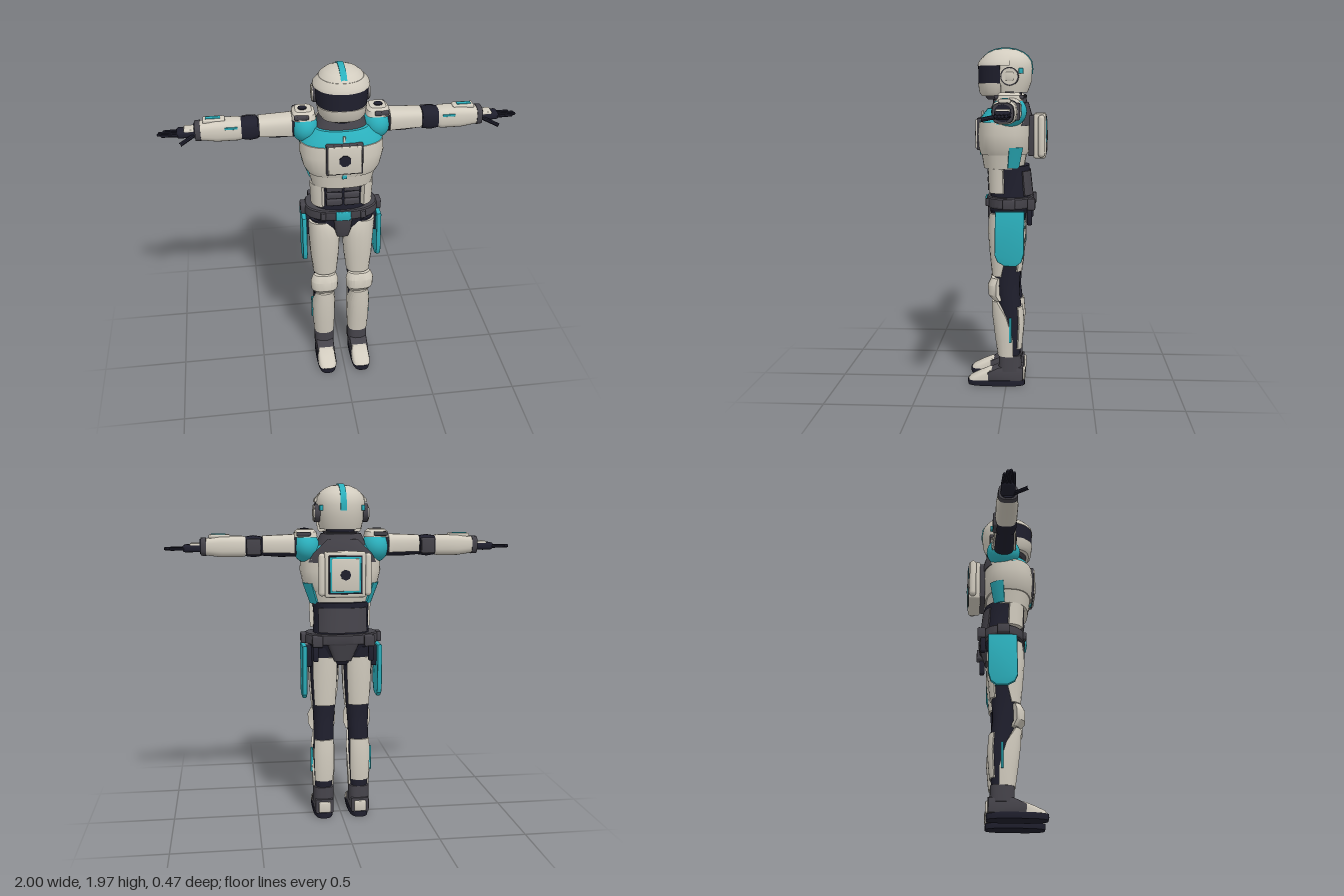
import * as THREE from 'three';
import { toCreasedNormals } from 'three/addons/utils/BufferGeometryUtils.js';
import { RoundedBoxGeometry } from 'three/addons/geometries/RoundedBoxGeometry.js';

const paint = (name, color) => Object.assign(new THREE.MeshStandardMaterial({ color }), { name });
const BACK = Math.PI, OUT = Math.PI / 2;

// Lofts rounded sections [y, cx, cz, rx, rz, halfAngle?] in rising y.
// With half set, it makes a curved plate around the angle mid (0 = front, OUT = +x).
function loft(sections, { n = 2.4, mid = 0, half = 0, thick = 0.012, segs = 32 } = {}) {
  const pw = v => Math.sign(v) * Math.abs(v) ** (2 / n);
  const pos = [], idx = [];
  const m = half ? Math.max(4, Math.ceil(segs * half / Math.PI)) + 1 : segs / 2;
  const N = m * 2;
  for (const [y, cx, cz, rx, rz, h = half] of sections) {
    const put = (a, t) => pos.push(cx + (rx - t) * pw(Math.sin(a)), y, cz + (rz - t) * pw(Math.cos(a)));
    if (half) {
      for (let i = 0; i < m; i++) put(mid - h + 2 * h * i / (m - 1), 0);
      for (let i = m - 1; i >= 0; i--) put(mid - h + 2 * h * i / (m - 1), thick);
    } else for (let i = 0; i < N; i++) put(i * 2 * Math.PI / N, 0);
  }
  const quad = (a, b, c, d) => idx.push(a, b, c, a, c, d);
  for (let j = 0; j < sections.length - 1; j++)
    for (let i = 0; i < N; i++) {
      const a = j * N + i, b = j * N + (i + 1) % N;
      quad(a, b, b + N, a + N);
    }
  const top = (sections.length - 1) * N;
  for (let i = 0; i < m - 1; i++) {
    quad(N - 1 - i, N - 2 - i, i + 1, i);
    quad(top + i, top + i + 1, top + N - 2 - i, top + N - 1 - i);
  }
  const g = new THREE.BufferGeometry();
  g.setAttribute('position', new THREE.Float32BufferAttribute(pos, 3));
  g.setIndex(idx);
  return g;
}

// Side outline of [z, y] points, extruded across x
function slab(points, x, width, bevel = 0) {
  const shape = new THREE.Shape(points.map(p => new THREE.Vector2(...p)));
  const depth = width - 2 * bevel;
  return new THREE.ExtrudeGeometry(shape, { depth, bevelEnabled: bevel > 0, bevelSize: bevel, bevelOffset: -bevel, bevelThickness: bevel, bevelSegments: 2 })
    .translate(0, 0, -depth / 2).rotateY(-Math.PI / 2).translate(x, 0, 0);
}

const box = (x, y, z, w, h, d, r = 0.008) => new RoundedBoxGeometry(w, h, d, 2, Math.min(r, w / 2.1, h / 2.1, d / 2.1)).translate(x, y, z);
// Arm pieces are lofted upright, then laid along +x; the angle -OUT faces up
const along = (sections, opts) => loft(sections, opts).rotateZ(-Math.PI / 2).translate(0, 1.62, -0.02);

function mirrored(geo) {
  const g = geo.clone(), p = g.attributes.position, old = geo.attributes.position;
  for (let i = 0; i < p.count; i++) {
    const k = i - i % 3 + 2 - i % 3;
    p.setXYZ(i, -old.getX(k), old.getY(k), old.getZ(k));
  }
  g.deleteAttribute('uv');
  return toCreasedNormals(g, 0.55);
}

export function createModel() {
  const model = new THREE.Group();
  model.name = 'armouredFigure';
  const white = paint('bone armour', 0xd2ccbf), teal = paint('teal panel', 0x2bb0bd);
  const grey = paint('dark grey', 0x45434a), navy = paint('navy undersuit', 0x1f1f2d);

  const add = (name, geo, mat) => {
    const g = toCreasedNormals(geo.index ? geo.toNonIndexed() : geo, 0.55);
    const mesh = new THREE.Mesh(g, mat);
    mesh.name = name;
    model.add(mesh);
    return g;
  };
  const pair = (name, geo, mat) => {
    const g = add(name + 'Left', geo, mat);
    const mesh = new THREE.Mesh(mirrored(g), mat);
    mesh.name = name + 'Right';
    model.add(mesh);
  };

  // Helmet
  add('helmetShell', loft([[1.715, 0, -0.005, 0.118, 0.112], [1.78, 0, 0.005, 0.135, 0.146], [1.85, 0, 0.009, 0.142, 0.154],
    [1.89, 0, 0.009, 0.137, 0.148], [1.92, 0, 0.009, 0.117, 0.128], [1.942, 0, 0.009, 0.09, 0.1], [1.957, 0, 0.009, 0.055, 0.063],
    [1.963, 0, 0.009, 0.02, 0.025]], { n: 2.1, segs: 48 }), white);
  add('visor', loft([[1.765, 0, 0.01, 0.139, 0.155], [1.87, 0, 0.01, 0.146, 0.158]], { half: 1.45, n: 2.3, thick: 0.02, segs: 48 }), navy);
  add('brow', loft([[1.865, 0, 0.01, 0.155, 0.162], [1.885, 0, 0.01, 0.15, 0.158], [1.915, 0, 0.009, 0.122, 0.134]], { half: 1.75, n: 2.1, thick: 0.03, segs: 48 }), white);
  add('jaw', loft([[1.695, 0, 0.01, 0.118, 0.135], [1.715, 0, 0.01, 0.13, 0.15], [1.768, 0, 0.01, 0.138, 0.158]], { half: 1.5, n: 2.7, thick: 0.04, segs: 40 }), white);
  add('chinGuard', loft([[1.675, 0, 0.01, 0.085, 0.1], [1.7, 0, 0.01, 0.1, 0.125]]), grey);
  add('crestStripe', slab([[0.148, 1.9], [0.13, 1.925], [0.108, 1.946], [0.07, 1.962], [0.03, 1.969], [-0.012, 1.969], [-0.053, 1.962], [-0.093, 1.946],
    [-0.123, 1.923], [-0.143, 1.892], [-0.149, 1.85], [-0.147, 1.82], [0, 1.85]], 0, 0.034), teal);
  const disc = (x, y, z, r, d) => new THREE.CylinderGeometry(r, r, d, 20).rotateZ(-OUT).translate(x, y, z);
  pair('earRim', disc(0.138, 1.805, -0.02, 0.052, 0.03), grey);
  pair('earCup', disc(0.142, 1.805, -0.02, 0.045, 0.034), white);
  pair('earPad', box(0.152, 1.805, -0.02, 0.02, 0.05, 0.05), white);
  pair('earLight', box(0.119, 1.835, -0.083, 0.02, 0.03, 0.026, 0.003), teal);

  // Neck and torso
  add('neck', loft([[1.6, 0, 0, 0.08, 0.08], [1.73, 0, 0, 0.08, 0.085]]), navy);
  add('collar', loft([[1.57, 0, -0.01, 0.17, 0.13], [1.63, 0, -0.015, 0.145, 0.108], [1.69, 0, -0.02, 0.115, 0.088]]), grey);
  add('shoulderYoke', loft([[1.54, 0, 0.012, 0.234, 0.15], [1.58, 0, 0.005, 0.215, 0.143], [1.625, 0, -0.005, 0.16, 0.118]]), teal);
  add('upperBackPanel', loft([[1.53, 0, 0.01, 0.232, 0.155, 0.95], [1.58, 0, 0.004, 0.215, 0.15, 0.85], [1.66, 0, -0.015, 0.14, 0.108, 0.6]], { mid: BACK, half: 0.9, thick: 0.02 }), grey);
  add('ribArmour', loft([[1.285, 0, 0.018, 0.172, 0.117], [1.4, 0, 0.016, 0.2, 0.138]], { n: 2.5 }), white);
  add('chestArmour', loft([[1.365, 0, 0.016, 0.198, 0.138], [1.4, 0, 0.016, 0.217, 0.149], [1.48, 0, 0.016, 0.235, 0.154], [1.55, 0, 0.013, 0.232, 0.15]], { n: 2.5 }), white);
  pair('flankPanel', loft([[1.29, 0, 0.018, 0.182, 0.127], [1.41, 0, 0.016, 0.226, 0.158]], { mid: 2.02, half: 0.28, n: 2.5 }), teal);
  add('sternumMark', box(0, 1.368, 0.153, 0.026, 0.025, 0.012, 0.002), teal);
  add('chestLine', box(0, 1.58, 0.143, 0.014, 0.06, 0.012, 0.002).rotateX(0), white);

  // Chest unit and backpack
  add('chestUnitFrame', box(0, 1.48, 0.15, 0.204, 0.184, 0.04), grey);
  add('chestUnit', box(0, 1.48, 0.157, 0.185, 0.168, 0.044), white);
  add('chestPort', new THREE.CylinderGeometry(0.034, 0.034, 0.01, 8).rotateX(OUT).rotateZ(Math.PI / 8).translate(0, 1.48, 0.18), navy);
  add('backpackBase', box(0, 1.47, -0.155, 0.22, 0.23, 0.06), grey);
  add('backpackBody', box(0, 1.47, -0.19, 0.23, 0.255, 0.07, 0.012), white);
  add('backpackInset', box(0, 1.47, -0.222, 0.19, 0.215, 0.012, 0.003), navy);
  add('backpackTrim', box(0, 1.47, -0.224, 0.175, 0.2, 0.012, 0.003), teal);
  add('backpackPanel', box(0, 1.47, -0.227, 0.155, 0.18, 0.012, 0.004), white);
  add('backpackPort', new THREE.CylinderGeometry(0.03, 0.03, 0.008, 8).rotateX(OUT).translate(0, 1.47, -0.232), navy);
  pair('backpackTank', new THREE.CapsuleGeometry(0.02, 0.2, 6, 14).translate(0.13, 1.47, -0.2), white);

  // Abdomen
  add('abdomen', loft([[1.1, 0, -0.02, 0.165, 0.12], [1.2, 0, -0.02, 0.158, 0.115], [1.3, 0, -0.01, 0.165, 0.12]]), navy);
  for (let row = 0; row < 3; row++)
    pair('abdomenPad' + (row + 1), box(0.05, 1.175 + row * 0.045, 0.092, 0.09, 0.039, 0.034), grey);
  pair('waistPanel', loft([[1.145, 0, -0.015, 0.178, 0.128], [1.285, 0, -0.01, 0.183, 0.128]], { mid: 1.02, half: 0.44, thick: 0.025, n: 3 }), white);
  add('lowerBackPlate', loft([[1.13, 0, -0.015, 0.172, 0.138], [1.27, 0, -0.01, 0.172, 0.128]], { mid: BACK, half: 0.9 }), grey);

  // Belt and pelvis
  add('pelvis', loft([[0.93, 0, -0.01, 0.06, 0.07], [0.98, 0, -0.01, 0.15, 0.1], [1.08, 0, -0.015, 0.195, 0.12]]), navy);
  add('belt', loft([[1.06, 0, -0.02, 0.21, 0.132], [1.07, 0, -0.02, 0.215, 0.138], [1.115, 0, -0.02, 0.212, 0.138], [1.122, 0, -0.02, 0.205, 0.132]]), grey);
  add('buckle', box(0, 1.09, 0.116, 0.085, 0.055, 0.02, 0.004), teal);
  add('groinGuard', loft([[0.935, 0, 0.06, 0.035, 0.035], [0.98, 0, 0.07, 0.046, 0.042], [1.06, 0, 0.075, 0.055, 0.04]], { n: 4 }), grey);
  add('seatGuard', loft([[0.96, 0, -0.095, 0.05, 0.025], [1.06, 0, -0.115, 0.09, 0.03]], { n: 4 }), grey);
  pair('hipPouch', box(0.215, 1.09, -0.02, 0.042, 0.06, 0.07), grey);
  pair('rearPouch', box(0.15, 1.085, -0.145, 0.06, 0.065, 0.045), grey);
  pair('beltCanister', box(0.16, 1.01, -0.135, 0.03, 0.09, 0.03), navy);
  pair('beltLight', box(0.115, 1.09, 0.108, 0.03, 0.045, 0.02, 0.004), grey);

  // Hip panels
  pair('hipPanel', slab([[0.058, 1.05], [0.062, 0.8], [0.045, 0.76], [0.005, 0.737], [-0.06, 0.735], [-0.092, 0.76], [-0.106, 0.81], [-0.108, 1.05]], 0.219, 0.028, 0.008), teal);
  pair('hipPanelMount', box(0.195, 0.98, -0.02, 0.04, 0.12, 0.09), navy);

  // Legs
  pair('legSuit', loft([[0.12, 0.107, -0.025, 0.048, 0.05], [0.3, 0.107, -0.03, 0.056, 0.062], [0.42, 0.107, -0.03, 0.06, 0.065],
    [0.56, 0.103, -0.012, 0.06, 0.066], [0.7, 0.1, -0.005, 0.068, 0.077], [0.9, 0.1, -0.005, 0.083, 0.095], [1.04, 0.1, -0.01, 0.088, 0.1]], { segs: 20 }), navy);
  pair('thighFront', loft([[0.66, 0.1, 0.003, 0.073, 0.08, 1.3], [0.78, 0.1, 0.003, 0.085, 0.093, 1.6], [0.92, 0.1, 0.003, 0.092, 0.104, 1.75], [0.99, 0.105, 0.003, 0.09, 0.1, 1.6], [1.03, 0.125, 0, 0.072, 0.095, 1.3]],
    { half: 1.6, thick: 0.02, segs: 20 }), white);
  pair('thighBack', loft([[0.69, 0.1, -0.005, 0.078, 0.088], [0.85, 0.1, -0.005, 0.088, 0.103], [0.98, 0.1, -0.005, 0.09, 0.108]], { mid: BACK, half: 0.85, thick: 0.02, segs: 20 }), white);
  pair('kneeGuard', loft([[0.515, 0.105, 0, 0.07, 0.075], [0.55, 0.107, 0.005, 0.085, 0.1], [0.61, 0.107, 0.005, 0.088, 0.102], [0.65, 0.105, 0.005, 0.072, 0.082]],
    { half: 1.2, thick: 0.035, n: 3, segs: 24 }), white);
  pair('shinGuard', loft([[0.18, 0.107, -0.015, 0.063, 0.066, 1.9], [0.28, 0.107, -0.015, 0.068, 0.08, 1.85], [0.42, 0.107, -0.012, 0.072, 0.094, 1.5], [0.51, 0.105, -0.01, 0.07, 0.095, 0.9]],
    { half: 1.6, thick: 0.018, segs: 20 }), white);
  pair('calfGuard', loft([[0.225, 0.107, -0.03, 0.064, 0.062], [0.38, 0.107, -0.03, 0.071, 0.076], [0.48, 0.107, -0.025, 0.068, 0.072]], { mid: BACK, half: 0.95, thick: 0.018, segs: 20 }), white);
  pair('shinStripe', box(0.176, 0.345, -0.025, 0.014, 0.15, 0.014, 0.003), teal);

  // Boots
  pair('sole', loft([[0, 0.107, 0.058, 0.058, 0.168], [0.02, 0.107, 0.06, 0.062, 0.17], [0.034, 0.107, 0.06, 0.06, 0.168]], { n: 3 }), navy);
  pair('bootBody', slab([[-0.1, 0.03], [0.11, 0.03], [0.11, 0.082], [0.04, 0.115], [-0.1, 0.115]], 0.107, 0.11, 0.01), grey);
  pair('toeCap', loft([[0.032, 0.107, 0.145, 0.056, 0.08], [0.05, 0.107, 0.138, 0.054, 0.072], [0.075, 0.107, 0.107, 0.05, 0.05], [0.093, 0.107, 0.085, 0.045, 0.025]], { n: 3 }), white);
  pair('heelCap', box(0.107, 0.068, -0.1, 0.07, 0.065, 0.025), white);
  pair('bootCuff', loft([[0.09, 0.107, -0.022, 0.06, 0.068], [0.185, 0.107, -0.022, 0.06, 0.066]], { n: 3 }), grey);

  // Shoulders
  pair('shoulderBall', new THREE.SphereGeometry(1, 28, 18).scale(0.078, 0.088, 0.1).translate(0.2, 1.612, -0.02), teal);
  pair('shoulderCap', loft([[1.67, 0.205, -0.022, 0.068, 0.078], [1.7, 0.205, -0.022, 0.062, 0.07], [1.715, 0.205, -0.022, 0.045, 0.055]], { n: 4 }), white);
  pair('shoulderPort', new THREE.CylinderGeometry(0.025, 0.025, 0.008, 8).translate(0.21, 1.717, -0.022), navy);
  pair('shoulderClampFront', box(0.22, 1.69, 0.045, 0.08, 0.025, 0.03), grey);
  pair('shoulderClampRear', box(0.22, 1.69, -0.09, 0.08, 0.025, 0.03), grey);

  // Arms
  pair('armSuit', along([[0.2, 0.005, 0, 0.055, 0.06], [0.35, 0.005, 0, 0.057, 0.06], [0.5, 0, 0, 0.05, 0.05], [0.8, 0, 0, 0.042, 0.042]], { segs: 20 }), navy);
  pair('upperArmGuard', along([[0.27, 0, 0, 0.068, 0.073], [0.3, 0, 0, 0.066, 0.07], [0.45, 0, 0, 0.06, 0.063]], { mid: -OUT, half: 2, n: 3, segs: 24 }), white);
  pair('elbowSleeve', along([[0.455, 0, 0, 0.055, 0.058], [0.5, 0, 0, 0.062, 0.064], [0.545, 0, 0, 0.055, 0.058]], { n: 3, segs: 20 }), navy);
  pair('elbowPad', box(0.5, 1.62, -0.078, 0.08, 0.09, 0.03), grey);
  pair('forearmGuard', along([[0.545, 0, 0, 0.055, 0.058], [0.565, 0, 0, 0.06, 0.062], [0.68, 0, 0, 0.06, 0.062], [0.775, 0, 0, 0.047, 0.05]], { n: 3, segs: 24 }), white);
  pair('forearmTopPlate', box(0.69, 1.677, -0.025, 0.12, 0.022, 0.06), white);
  pair('forearmTopLight', box(0.695, 1.688, -0.025, 0.08, 0.008, 0.028, 0.002), teal);
  pair('forearmFrontLight', box(0.6, 1.648, 0.04, 0.07, 0.012, 0.009, 0.002), teal);
  pair('wristCuff', along([[0.765, 0, 0, 0.052, 0.056], [0.795, 0, 0, 0.05, 0.053]], { n: 3, segs: 24 }), grey);

  // Hands
  pair('palm', box(0.84, 1.612, -0.022, 0.11, 0.042, 0.078, 0.015), navy);
  pair('handGuard', box(0.825, 1.629, -0.022, 0.06, 0.025, 0.07), white);
  for (let i = 0; i < 4; i++) {
    const length = [0.1, 0.12, 0.115, 0.09][i];
    const finger = new THREE.CapsuleGeometry(0.0095, length - 0.019, 4, 8).rotateZ(-OUT).translate(length / 2, 0, 0);
    pair('finger' + (i + 1), finger.rotateY((i - 1.5) * -0.04).translate(0.88, 1.61, 0.008 - i * 0.02), navy);
  }
  pair('thumb', new THREE.TubeGeometry(new THREE.LineCurve3(new THREE.Vector3(0.8, 1.605, 0.005), new THREE.Vector3(0.878, 1.59, 0.085)), 1, 0.011, 8), navy);

  return model;
}
